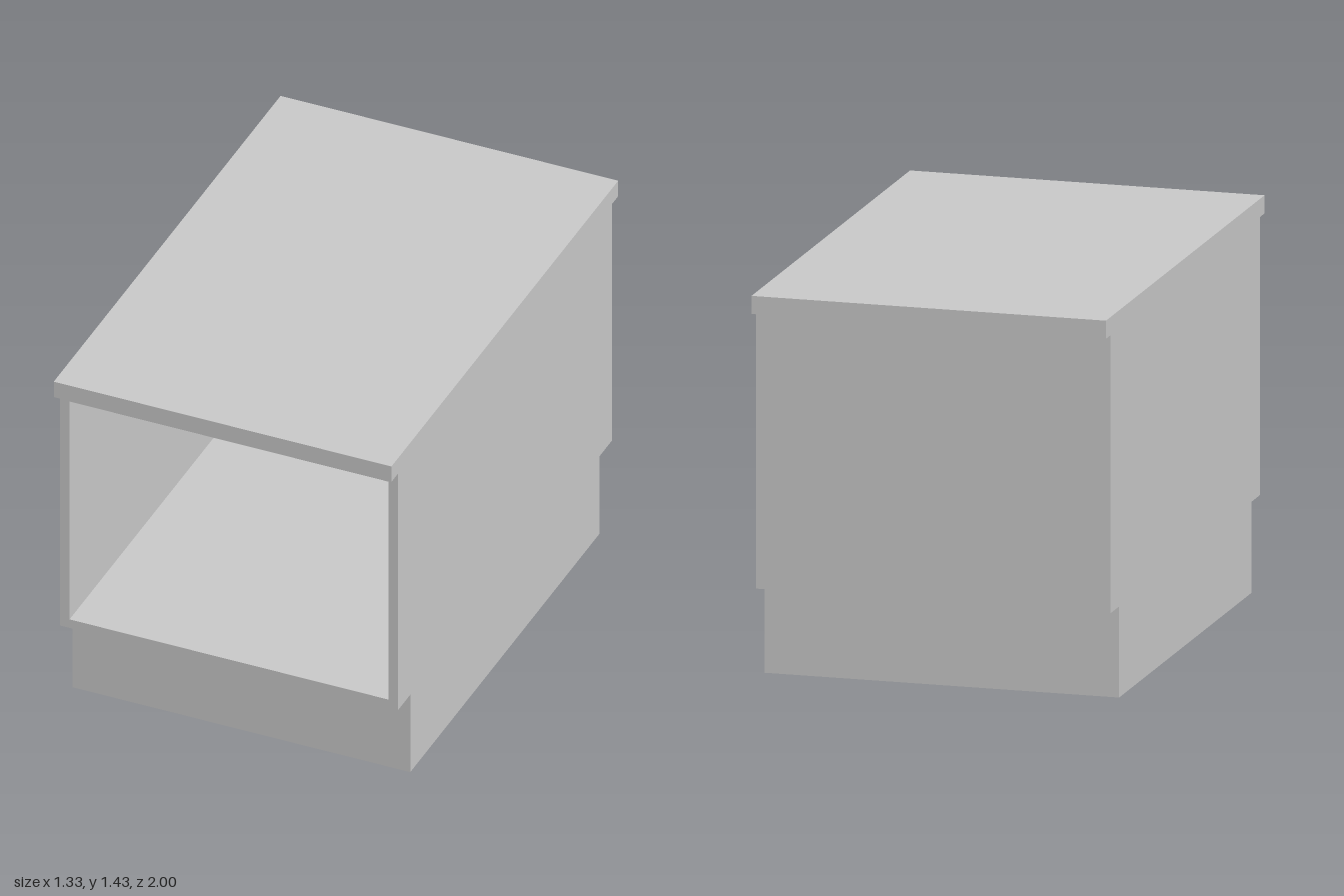
import * as THREE from 'three';

const material = new THREE.MeshStandardMaterial({ color: 0xcccccc });
const HALF_WIDTH = 0.665;

// Full-width block given by its height and depth ranges
function block(name, y0, y1, z0, z1) {
  const mesh = new THREE.Mesh(new THREE.BoxGeometry(HALF_WIDTH * 2, y1 - y0, z1 - z0), material);
  mesh.position.set(0, (y0 + y1) / 2, (z0 + z1) / 2);
  mesh.name = name;
  return mesh;
}

function rectangle(path, x, y0, y1) {
  path.moveTo(-x, y0);
  path.lineTo(x, y0);
  path.lineTo(x, y1);
  path.lineTo(-x, y1);
  path.closePath();
  return path;
}

export function createModel() {
  const group = new THREE.Group();
  group.name = 'cabinet';

  const bottom = 0.337, top = 1.366, front = 0.944, backInside = -0.905;

  // Recessed base and overhanging top
  group.add(block('plinth', 0, bottom, -0.834, 0.834));
  group.add(block('topSlab', top, 1.433, -1, 1));

  // Hollow carcass, open at the front
  const outline = rectangle(new THREE.Shape(), HALF_WIDTH, bottom, top);
  outline.holes.push(rectangle(new THREE.Path(), 0.628, 0.374, 1.322));
  const shell = new THREE.Mesh(
    new THREE.ExtrudeGeometry(outline, { depth: front - backInside, bevelEnabled: false }),
    material
  );
  shell.position.z = backInside;
  shell.name = 'carcass';
  group.add(shell);

  // Panel closing the back
  group.add(block('backPanel', bottom, top, -front, backInside));

  return group;
}
